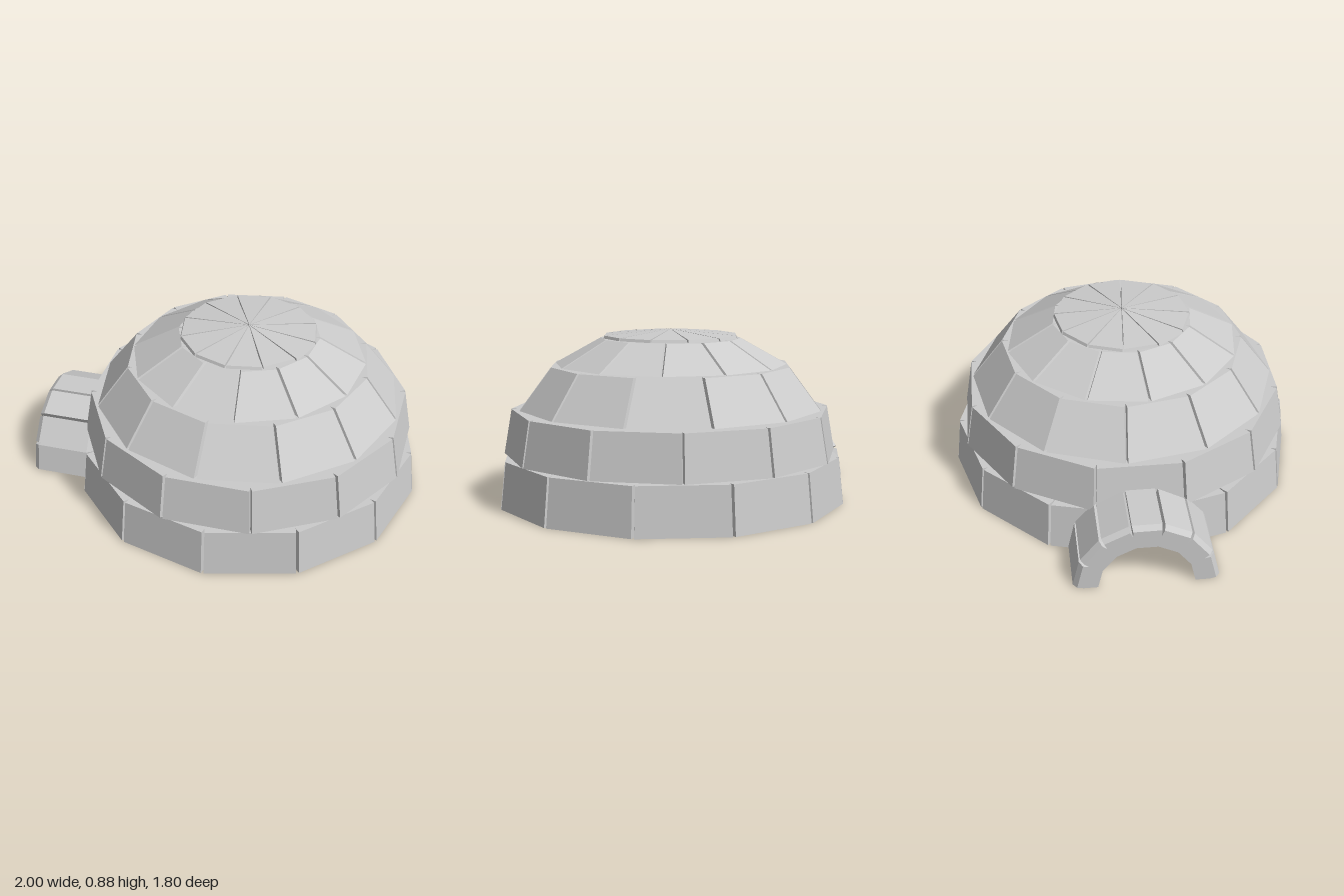
import * as THREE from 'three';

const CX = 0.1;            // dome axis
const N = 12;              // blocks per course
const STEP = (Math.PI * 2) / N;
const NOTCH = 0.007;       // half width of the seams
const DEPTH = 0.03;        // depth of the seams

const material = new THREE.MeshStandardMaterial({ color: 0xcccccc, flatShading: true });

// Closed solid through cross-sections with equal point counts, turned outward by its signed volume.
function loft(sections) {
  const tris = [];
  const n = sections[0].length;
  const last = sections[sections.length - 1];
  for (let s = 0; s < sections.length - 1; s++) {
    const a = sections[s], b = sections[s + 1];
    for (let i = 0; i < n; i++) {
      const j = (i + 1) % n;
      tris.push([a[i], a[j], b[j]], [a[i], b[j], b[i]]);
    }
  }
  for (let i = 1; i < n - 1; i++) {
    tris.push([sections[0][0], sections[0][i + 1], sections[0][i]], [last[0], last[i], last[i + 1]]);
  }
  let volume = 0;
  for (const [p, q, r] of tris) volume += p.dot(q.clone().cross(r));
  const points = tris.flatMap(([p, q, r]) => (volume < 0 ? [p, r, q] : [p, q, r]));
  const geometry = new THREE.BufferGeometry().setFromPoints(points);
  geometry.computeVertexNormals();
  return geometry;
}

function add(group, name, sections) {
  const mesh = new THREE.Mesh(loft(sections), material);
  mesh.name = name;
  group.add(mesh);
}

// Block outline as [radius, angle] pairs, with notched outer corners.
function outline(a0, a1, outer, inner) {
  const g = NOTCH / outer, mid = outer - DEPTH;
  return [[outer, a0 + g], [outer, a1 - g], [mid, a1], [inner, a1], [inner, a0], [mid, a0]];
}

const ringPoint = (r, a, y) => new THREE.Vector3(CX + r * Math.cos(a), y, r * Math.sin(a));

export function createModel() {
  const model = new THREE.Group();
  model.name = 'snowHouse';

  // Courses of the dome: bottom and top heights, outer and inner radii, turn in degrees
  const courses = [
    { y: [0, 0.24], outer: [0.898, 0.872], inner: [0.74, 0.715], turn: 0, door: true },
    { y: [0.246, 0.475], outer: [0.86, 0.82], inner: [0.705, 0.665], turn: 15 },
    { y: [0.485, 0.7], outer: [0.785, 0.622], inner: [0.64, 0.48], turn: 4.5 },
    { y: [0.705, 0.837], outer: [0.597, 0.36], inner: [0.46, 0.265], turn: -7 },
  ];
  courses.forEach((c, k) => {
    const course = new THREE.Group();
    course.name = `wallCourse${k + 1}`;
    for (let i = 0; i < N; i++) {
      if (c.door && (i === 5 || i === 6)) continue; // doorway
      const a0 = THREE.MathUtils.degToRad(c.turn) + i * STEP;
      add(course, 'wallBlock', [0, 1].map((e) =>
        outline(a0, a0 + STEP, c.outer[e], c.inner[e]).map(([r, a]) => ringPoint(r, a, c.y[e]))));
    }
    model.add(course);
  });

  // Cut blocks on both sides of the doorway, following the curve of the tunnel
  const base = courses[0];
  const slope = Math.tan(STEP / 2);
  for (const side of [1, -1]) {
    const section = (zAt, yb) => [['outer', yb], ['outer', 0.24], ['inner', 0.24], ['inner', yb]].map(([face, y]) => {
      const r = THREE.MathUtils.lerp(base[face][0], base[face][1], y / 0.24);
      const z = zAt(r);
      return new THREE.Vector3(CX - (r - z * slope), y, side * z);
    });
    add(model, 'doorwayBlock', [
      section((r) => r * 0.5 - 0.006, 0),
      section(() => 0.297, 0),
      section(() => 0.266, 0.128),
      section(() => 0.184, 0.231),
    ]);
  }

  // Shallow cap of wedges meeting at the apex
  const cap = new THREE.Group();
  cap.name = 'roofCap';
  for (let i = 0; i < N; i++) {
    const a0 = THREE.MathUtils.degToRad(5) + i * STEP;
    const g = 0.012;
    const wedge = (r, y, yMid) => [
      ringPoint(0.004, a0 + STEP / 2, yMid), ringPoint(r, a0 + g, y), ringPoint(r, a0 + STEP - g, y),
    ];
    add(cap, 'capWedge', [wedge(0.352, 0.84, 0.845), wedge(0.346, 0.854, 0.882)]);
  }
  model.add(cap);

  // Entrance tunnel: an arch of seven long blocks with a chamfered mouth
  const tunnel = new THREE.Group();
  tunnel.name = 'entranceTunnel';
  const COUNT = 7;
  for (let i = 0; i < COUNT; i++) {
    const a0 = (i * Math.PI) / COUNT, a1 = ((i + 1) * Math.PI) / COUNT;
    add(tunnel, 'archBlock', [[-1, 0.335], [-0.975, 0.355], [-0.55, 0.355]].map(([x, outer]) =>
      outline(a0, a1, outer, 0.235).map(([r, a]) =>
        new THREE.Vector3(x, r * Math.sin(a), r * Math.cos(a)))));
  }
  model.add(tunnel);

  return model;
}
